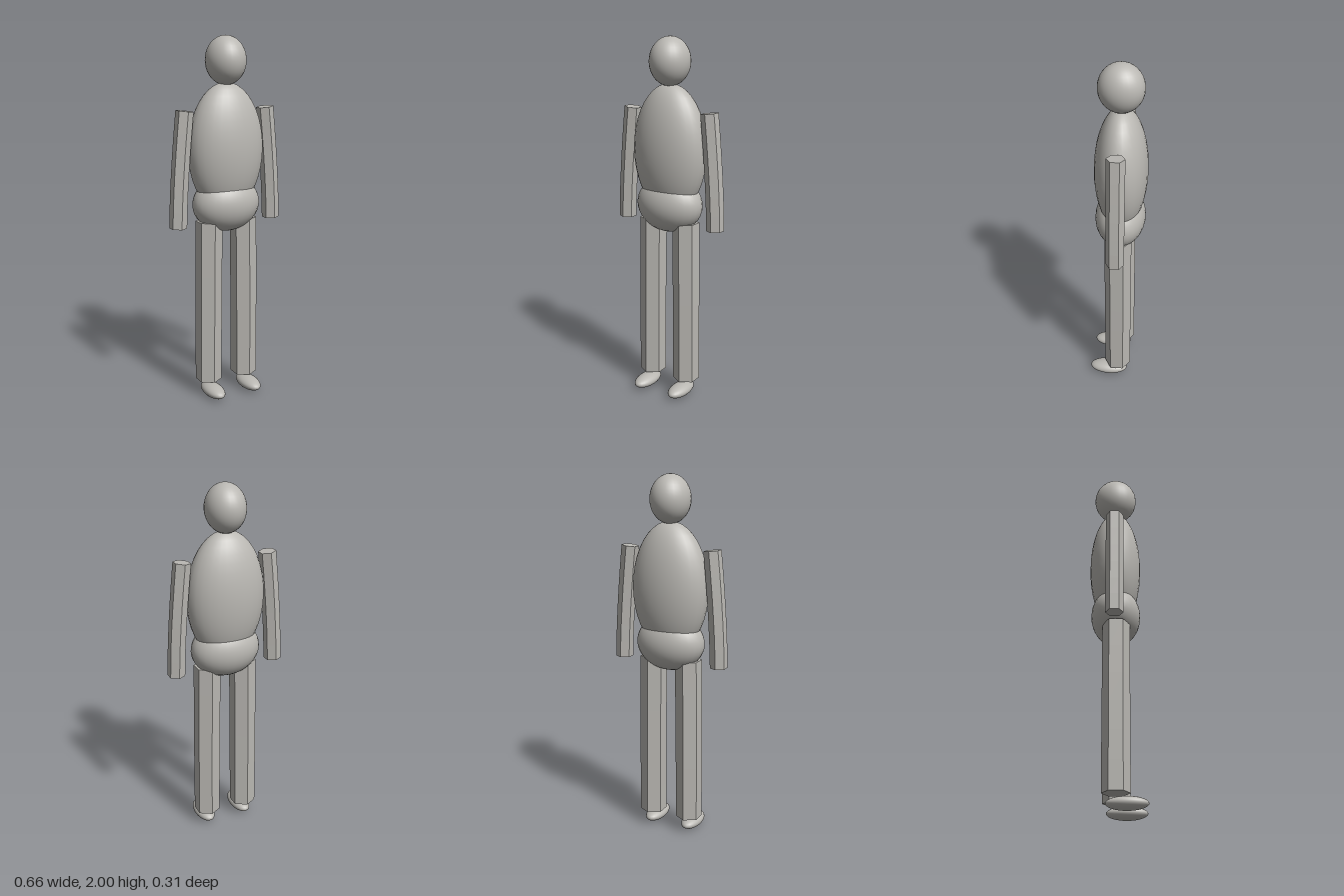
import * as THREE from 'three';

const skin = new THREE.MeshStandardMaterial({ color: 0xbab8b3 });
skin.name = 'warm grey';
const skinFaceted = skin.clone(); // same colour, faceted limbs
skinFaceted.flatShading = true;

// Smooth ellipsoid from centre and radii
function ellipsoid(name, [x, y, z], [rx, ry, rz]) {
  const geo = new THREE.SphereGeometry(1, 28, 20).scale(rx, ry, rz);
  const mesh = new THREE.Mesh(geo, skin);
  mesh.name = name;
  mesh.position.set(x, y, z);
  return mesh;
}

// Six-sided capped prism bent along a curve in the xy plane, from top to bottom
function limb(name, radius, z, top, control, bottom) {
  const curve = new THREE.QuadraticBezierCurve(
    new THREE.Vector2(...top), new THREE.Vector2(...control), new THREE.Vector2(...bottom));
  const geo = new THREE.CylinderGeometry(radius, radius, 1, 6, 6);
  const pos = geo.attributes.position;
  for (let i = 0; i < pos.count; i++) {
    const t = 0.5 - pos.getY(i);
    const p = curve.getPoint(t);
    const d = curve.getTangent(t);
    const across = pos.getX(i);
    pos.setXYZ(i, p.x - d.y * across, p.y + d.x * across, pos.getZ(i) + z);
  }
  geo.computeVertexNormals();
  const mesh = new THREE.Mesh(geo, skinFaceted);
  mesh.name = name;
  return mesh;
}

export function createModel() {
  const model = new THREE.Group();
  model.name = 'mannequin';

  // Head and body
  model.add(
    ellipsoid('head', [0, 1.87, -0.013], [0.108, 0.13, 0.12]),
    ellipsoid('torso', [0, 1.4, -0.014], [0.217, 0.356, 0.142]),
    ellipsoid('pelvis', [0, 1.1, -0.011], [0.195, 0.154, 0.136]));

  // Arms, legs and feet on both sides
  for (const [side, s] of [['left', 1], ['right', -1]]) {
    model.add(
      limb(side + 'Arm', 0.048, -0.0145, [s * 0.243, 1.615], [s * 0.283, 1.25], [s * 0.289, 0.99]),
      limb(side + 'Leg', 0.074, -0.008, [s * 0.106, 1.01], [s * 0.113, 0.55], [s * 0.114, 0.085]),
      ellipsoid(side + 'Foot', [s * 0.115, 0.035, 0.047], [0.054, 0.035, 0.109]));
  }
  return model;
}
